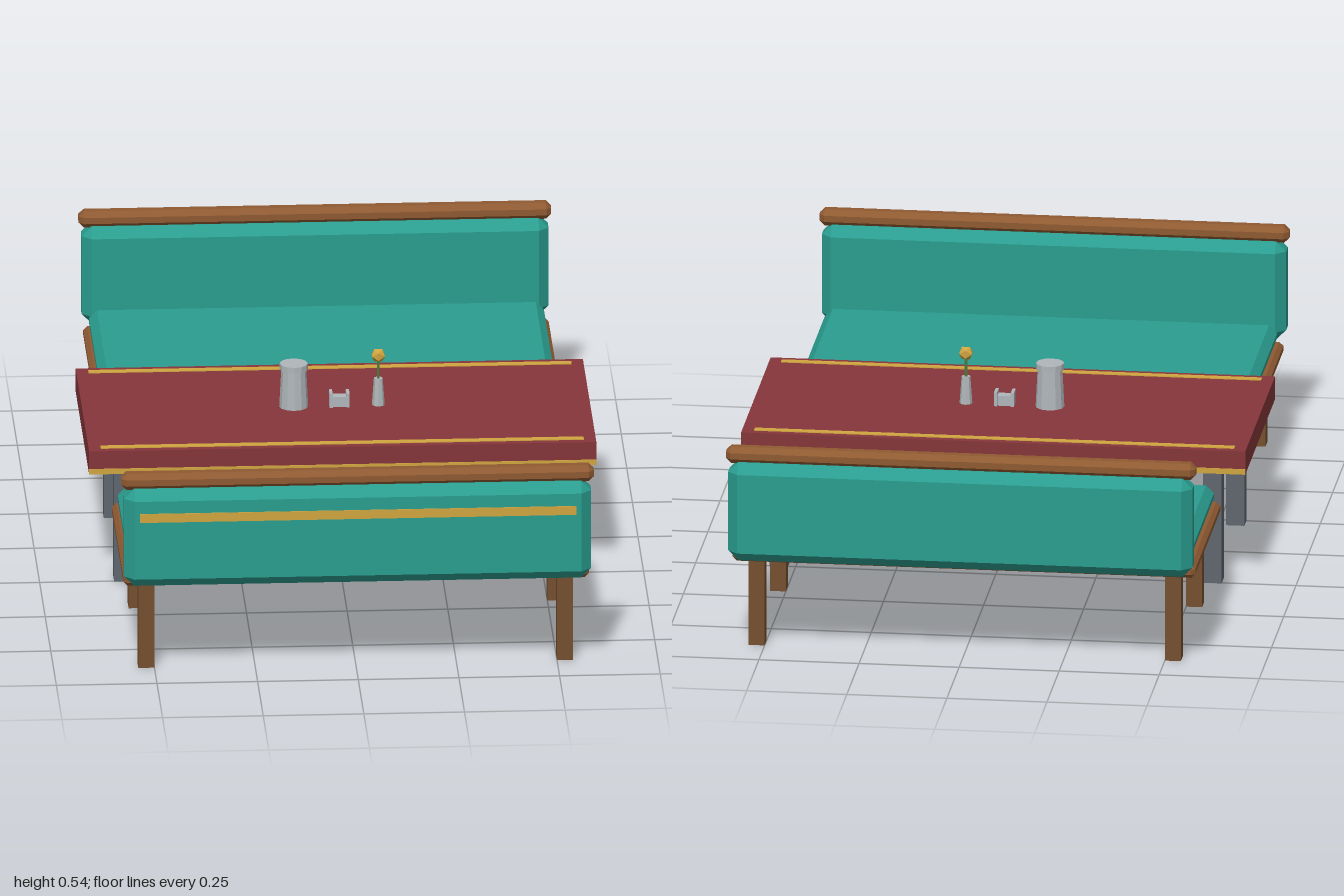
import * as THREE from 'three';
import { ConvexGeometry } from 'three/addons/geometries/ConvexGeometry.js';

const mat = (name, color) => {
  const m = new THREE.MeshStandardMaterial({ color });
  m.name = name;
  return m;
};

// Box with single flat chamfers on every edge
function chamferBox(w, h, d, c) {
  const pts = [];
  for (const x of [-1, 1]) for (const y of [-1, 1]) for (const z of [-1, 1]) {
    const [a, b, e] = [w / 2, h / 2, d / 2];
    pts.push(new THREE.Vector3(x * a, y * (b - c), z * (e - c)));
    pts.push(new THREE.Vector3(x * (a - c), y * b, z * (e - c)));
    pts.push(new THREE.Vector3(x * (a - c), y * (b - c), z * e));
  }
  return new ConvexGeometry(pts);
}

// Faceted solid of revolution with flat normals
function faceted(geometry) {
  const g = geometry.toNonIndexed();
  g.computeVertexNormals();
  return g;
}

export function createModel() {
  const teal = mat('teal upholstery', 0x2a9d8f);
  const wood = mat('warm wood', 0x8f5a32);
  const legWood = mat('dark wood', 0x76502f);
  const red = mat('red tabletop', 0x85363a);
  const gold = mat('gold trim', 0xd0a540);
  const steel = mat('grey steel', 0x5f666e);
  const silver = mat('silver', 0xb0b6ba);
  const green = mat('green stem', 0x4f7a3a);

  const model = new THREE.Group();
  model.name = 'boothSet';
  const add = (parent, name, geometry, material, x, y, z) => {
    const m = new THREE.Mesh(geometry, material);
    m.name = name;
    m.position.set(x, y, z);
    parent.add(m);
    return m;
  };
  const box = (w, h, d) => new THREE.BoxGeometry(w, h, d);
  const cyl = (top, bottom, h, sides) => faceted(new THREE.CylinderGeometry(top, bottom, h, sides));

  // Two benches facing each other across the table
  for (const s of [1, -1]) {
    const bench = new THREE.Group();
    bench.name = s > 0 ? 'frontBench' : 'backBench';
    model.add(bench);
    add(bench, 'seatFrame', chamferBox(1.156, 0.033, 0.53, 0.01), wood, 0, 0.24, s * 0.645);
    add(bench, 'seatCushion', chamferBox(1.13, 0.052, 0.505, 0.02), teal, 0, 0.28, s * 0.645);
    add(bench, 'backrest', chamferBox(1.16, 0.255, 0.085, 0.025), teal, 0, 0.377, s * 0.9575);
    add(bench, 'topRail', chamferBox(1.174, 0.042, 0.046, 0.013), wood, 0, 0.521, s * 0.957);
    for (const x of [-0.52, 0.52]) for (const z of [0.43, 0.865])
      add(bench, 'benchLeg', box(0.04, 0.228, 0.04), legWood, x, 0.114, s * z);
    // Stripe on the outer face of the front bench
    if (s > 0) add(bench, 'backrestStripe', box(1.084, 0.023, 0.004), gold, 0, 0.436, 1);
  }

  // Table with gold inlays and edge trim
  const table = new THREE.Group();
  table.name = 'table';
  model.add(table);
  add(table, 'tabletop', box(1.26, 0.06, 0.606), red, 0, 0.332, 0);
  for (const s of [-1, 1]) {
    add(table, 'topInlay', box(1.2, 0.004, 0.02), gold, 0, 0.362, s * 0.275);
    add(table, 'edgeTrim', box(1.26, 0.014, 0.004), gold, 0, 0.309, s * 0.303);
    for (const x of [-0.542, 0.542])
      add(table, 'tableLeg', box(0.046, 0.302, 0.046), steel, x, 0.151, s * 0.232);
  }

  // Canister
  const canister = new THREE.Group();
  canister.name = 'canister';
  canister.position.set(-0.105, 0.362, 0);
  model.add(canister);
  add(canister, 'canisterBody', cyl(0.031, 0.036, 0.1, 12), silver, 0, 0.05, 0);
  add(canister, 'canisterLid', cyl(0.035, 0.035, 0.016, 12), silver, 0, 0.105, 0);

  // Small condiment holder
  const holder = new THREE.Group();
  holder.name = 'condimentHolder';
  holder.position.set(0.008, 0.362, 0);
  model.add(holder);
  add(holder, 'holderBody', box(0.04, 0.026, 0.026), silver, 0, 0.013, 0);
  for (const x of [-0.021, 0.021])
    add(holder, 'holderEnd', box(0.008, 0.036, 0.036), silver, x, 0.018, 0);

  // Bud vase with one flower
  const vase = new THREE.Group();
  vase.name = 'flowerVase';
  vase.position.set(0.105, 0.362, 0);
  model.add(vase);
  add(vase, 'vaseBody', cyl(0.011, 0.016, 0.07, 8), silver, 0, 0.035, 0);
  add(vase, 'stem', cyl(0.004, 0.004, 0.055, 6), green, 0, 0.095, 0);
  add(vase, 'flower', new THREE.IcosahedronGeometry(0.019, 0), gold, 0, 0.13, 0);

  return model;
}
